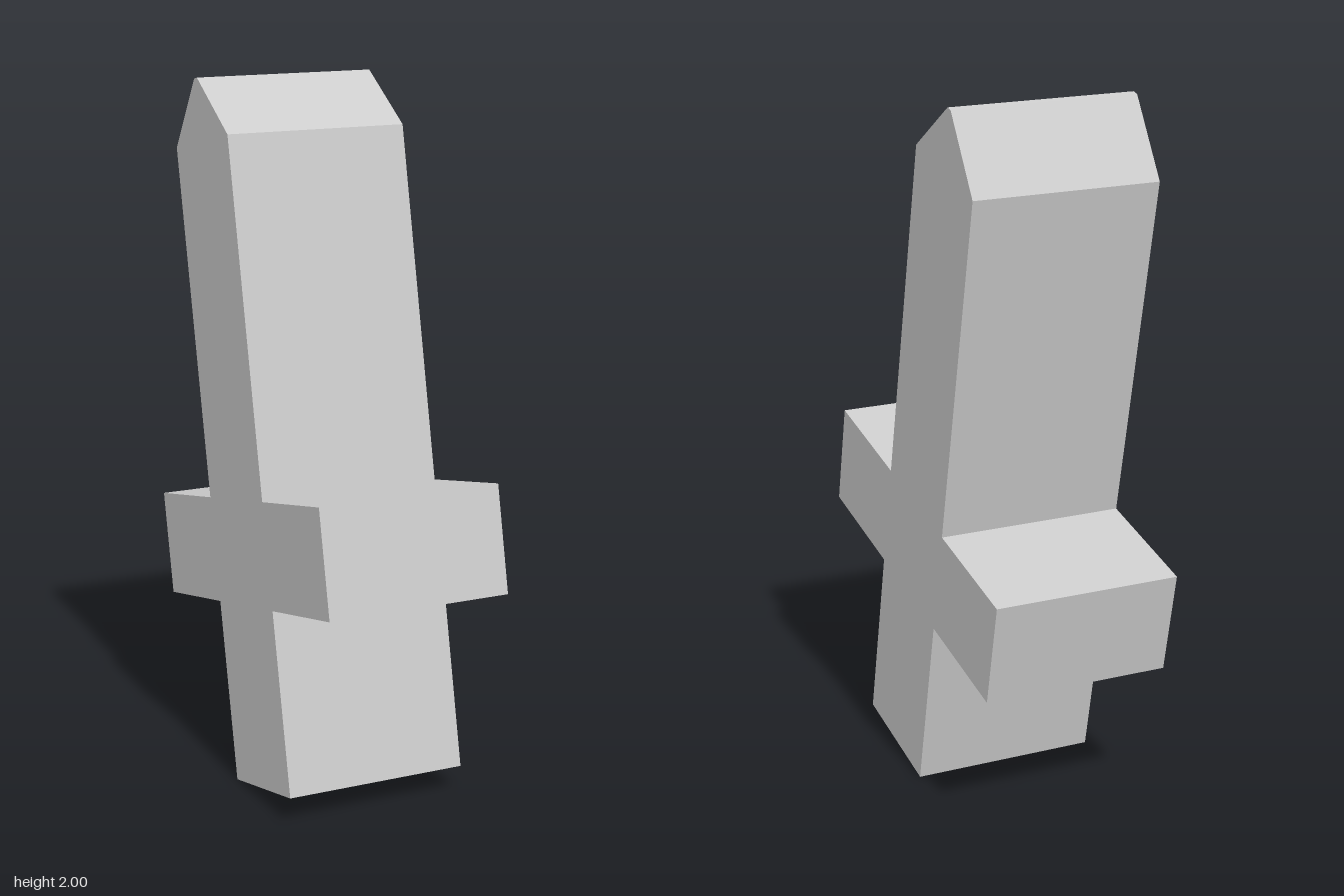
import * as THREE from 'three';

export function createModel() {
  const group = new THREE.Group();
  group.name = 'blockSword';

  // Half outline of the sword along its own axis: [half width, height]
  const half = [
    [0.184, 0],      // pommel end
    [0.184, 0.521],  // grip meets guard
    [0.547, 0.521],  // guard, lower corner
    [0.547, 0.822],  // guard, upper corner
    [0.184, 0.822],  // blade root
    [0.184, 1.825],  // blade shoulder
    [0.01, 2.0],     // narrow flat tip
  ];
  const mirrored = half.map(([s, h]) => [-s, h]).reverse();
  const outline = new THREE.Shape([...half, ...mirrored].map(([s, h]) => new THREE.Vector2(s, h)));

  // Thick slab of that outline, leaning back, with its thickness along x
  const width = 0.536;
  const geometry = new THREE.ExtrudeGeometry(outline, { depth: width, bevelEnabled: false });
  geometry.translate(0, 0, -width / 2);
  geometry.rotateZ(THREE.MathUtils.degToRad(12.13));
  geometry.rotateY(-Math.PI / 2);
  geometry.translate(0, 0.0387, 0.143);

  const material = new THREE.MeshStandardMaterial({ color: 0xcccccc, flatShading: true });
  const sword = new THREE.Mesh(geometry, material);
  sword.name = 'sword';
  group.add(sword);
  return group;
}
